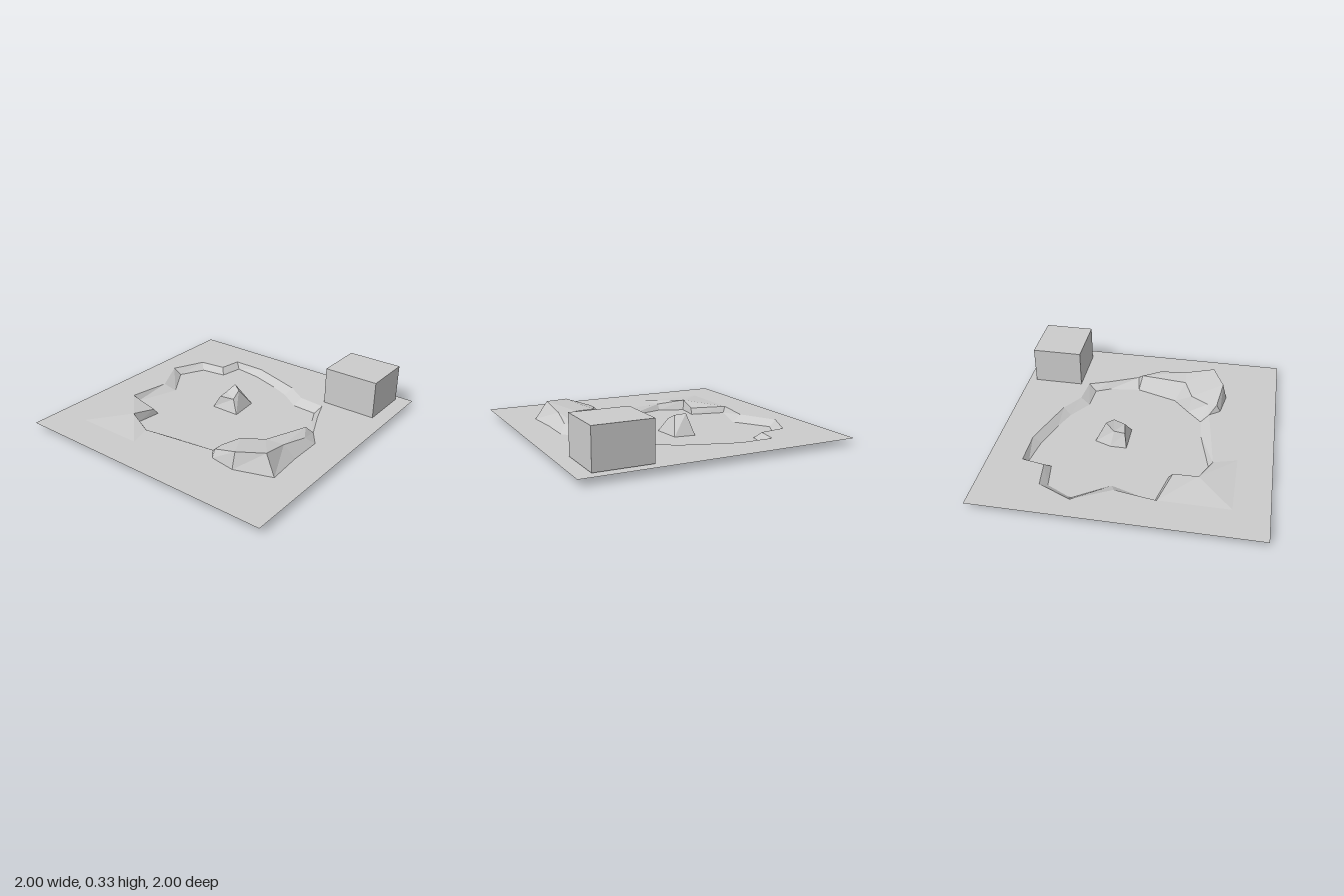
import * as THREE from 'three';

const RIM = 0.045;
const material = new THREE.MeshStandardMaterial({ color: 0xcccccc, flatShading: true, side: THREE.DoubleSide });
const at = (y) => ([x, z]) => [x, y, z];

// Flat-shaded mesh from a list of triangles
function facetMesh(name, triangles) {
  const solid = triangles.filter((t) => {
    const [a, b, c] = t.map((p) => new THREE.Vector3(...p));
    return new THREE.Triangle(a, b, c).getArea() > 1e-7;
  });
  const geometry = new THREE.BufferGeometry();
  geometry.setAttribute('position', new THREE.Float32BufferAttribute(solid.flat(2), 3));
  geometry.computeVertexNormals();
  const mesh = new THREE.Mesh(geometry, material);
  mesh.name = name;
  return mesh;
}

// Triangles joining two rows of points of equal length
function strip(a, b, closed = false) {
  const triangles = [];
  for (let i = 0; i < a.length - (closed ? 0 : 1); i++) {
    const j = (i + 1) % a.length;
    triangles.push([a[i], a[j], b[j]], [a[i], b[j], b[i]]);
  }
  return triangles;
}

// Level sheet with an outline and one hole, given as [x, z] points
function sheet(name, outline, hole, y) {
  const points = (list) => list.map(([x, z]) => new THREE.Vector2(x, -z));
  const shape = new THREE.Shape(points(outline));
  shape.holes.push(new THREE.Path(points(hole)));
  const geometry = new THREE.ShapeGeometry(shape).rotateX(-Math.PI / 2).translate(0, y, 0);
  const mesh = new THREE.Mesh(geometry, material);
  mesh.name = name;
  return mesh;
}

export function createModel() {
  const group = new THREE.Group();
  group.name = 'basinTerrain';

  // Bank sections: floor [x, z] and rim [x, z], clockwise seen from above
  const backBank = [
    [[-0.46, -0.72], [-0.5, -0.75]], [[-0.25, -0.69], [-0.25, -0.75]],
    [[-0.03, -0.62], [-0.03, -0.68]], [[0.12, -0.56], [0.15, -0.62]],
    [[0.28, -0.45], [0.3, -0.52]], [[0.47, -0.44], [0.5, -0.5]],
    [[0.52, -0.33], [0.56, -0.34]], [[0.55, -0.1], [0.66, -0.12]],
  ];
  const frontBank = [
    [[0.21, 0.44], [0.25, 0.5]], [[0.04, 0.46], [0.05, 0.53]],
    [[-0.3, 0.55], [-0.3, 0.58]], [[-0.48, 0.47], [-0.5, 0.5]],
    [[-0.46, 0.29], [-0.47, 0.32]], [[-0.72, 0.23], [-0.75, 0.25]],
    [[-0.615, -0.08], [-0.7, -0.05]], [[-0.78, -0.33], [-0.84, -0.32]],
    [[-0.685, -0.515], [-0.73, -0.56]], [[-0.49, -0.545], [-0.53, -0.585]],
    backBank[0],
  ];
  const peak = [-0.5, 0.075, 0.5];
  const rimPoint = (p) => (p[0] === peak[0] && p[1] === peak[2] ? peak : at(RIM)(p));
  const bank = (list) => strip(list.map((s) => at(0)(s[0])), list.map((s) => rimPoint(s[1])));
  group.add(facetMesh('backBank', bank(backBank)), facetMesh('frontBank', bank(frontBank)));

  // Ridge sections: floor, inner crest, outer crest, outer foot
  const start = [0.66, RIM, -0.12], end = [0.25, RIM, 0.5];
  const ridge = [
    [[0.55, 0, -0.1], start, start, start],
    [[0.55, 0, -0.1], [0.62, 0.095, -0.08], [0.7, 0.1, 0.06], [0.75, RIM, 0]],
    [[0.45, 0, 0.21], [0.53, 0.13, 0.28], [0.67, 0.135, 0.27], [0.75, RIM, 0.25]],
    [[0.32, 0, 0.33], [0.37, 0.115, 0.35], [0.685, 0.18, 0.49], [0.77, RIM, 0.52]],
    [[0.21, 0, 0.44], [0.31, 0.1, 0.48], [0.5, 0.165, 0.58], [0.5, RIM, 0.61]],
    [[0.21, 0, 0.44], [0.31, 0.1, 0.48], [0.31, 0.1, 0.55], [0.31, RIM, 0.58]],
    [[0.21, 0, 0.44], end, end, end],
  ];
  const row = (k) => ridge.map((s) => s[k]);
  group.add(facetMesh('ridge', [0, 1, 2].flatMap((k) => strip(row(k), row(k + 1)))));

  // Low mound beside the front left bank
  const moundEdge = [[-0.3, 0.58], [-0.25, 0.75], [-0.5, 0.75], [-0.75, 0.75], [-0.75, 0.5], [-0.75, 0.25]];
  const moundRing = [...moundEdge, [-0.47, 0.32]].map(at(RIM));
  group.add(facetMesh('mound', moundRing.slice(1).map((p, i) => [peak, p, moundRing[i]])));

  // Rock rising from the basin floor
  const rockBase = [[-0.2, -0.06], [0.02, -0.06], [0, -0.28], [-0.155, -0.3], [-0.2, -0.18]];
  const rockTop = [
    [-0.15, 0.095, -0.08], [-0.04, 0.095, -0.1], [-0.05, 0.135, -0.18],
    [-0.12, 0.15, -0.225], [-0.15, 0.105, -0.16],
  ];
  const cap = [[0, 1, 4], [1, 2, 4], [2, 3, 4]].map((t) => t.map((i) => rockTop[i]));
  group.add(facetMesh('rock', [...strip(rockBase.map(at(0)), rockTop, true), ...cap]));

  // Basin floor, open under the rock
  const floorLoop = [
    ...backBank.map((s) => s[0]), [0.45, 0.21], [0.32, 0.33],
    ...frontBank.slice(0, -1).map((s) => s[0]),
  ];
  group.add(sheet('basinFloor', floorLoop, rockBase, 0));

  // Surrounding ground, cut out around basin, ridge and mound
  const cutout = [
    ...backBank.map((s) => s[1]),
    ...ridge.slice(1, -1).map((s) => [s[3][0], s[3][2]]),
    ...frontBank.slice(0, 2).map((s) => s[1]),
    ...moundEdge,
    ...frontBank.slice(6, -1).map((s) => s[1]),
  ];
  group.add(sheet('ground', [[-1, 1], [1, 1], [1, -1], [-1, -1]], cutout, RIM));

  // Plain block on the back corner
  const block = new THREE.Mesh(new THREE.BoxGeometry(0.41, 0.28, 0.375), material);
  block.name = 'block';
  block.position.set(0.685, 0.19, -0.75);
  group.add(block);

  return group;
}
